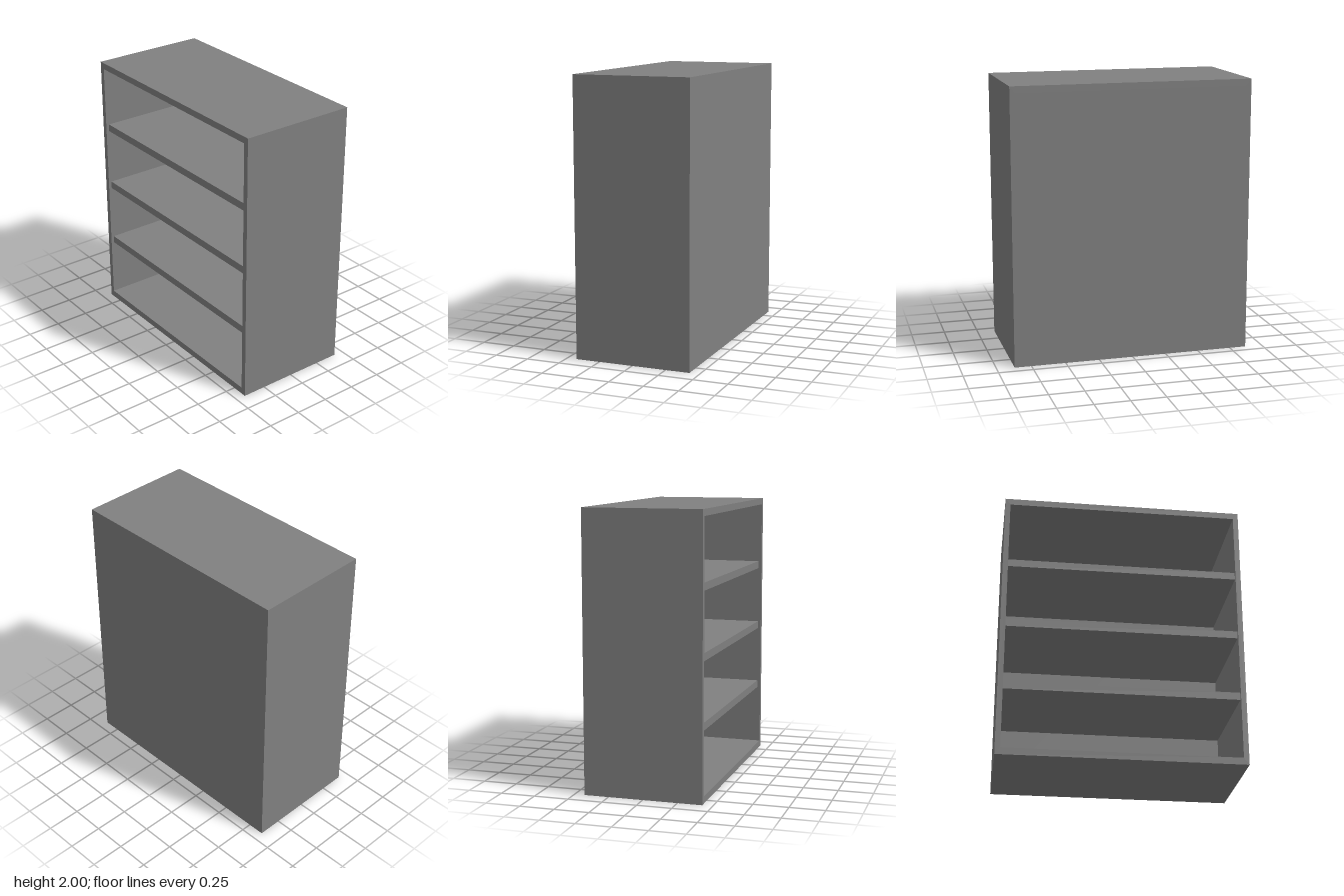
import * as THREE from 'three';

export function createModel() {
  const group = new THREE.Group();
  const grey = new THREE.MeshStandardMaterial({ color: 0x808080 });
  grey.name = 'grey';

  // Overall size and board thicknesses
  const W = 1.744, H = 2, D = 0.854;
  const side = 0.038, slab = 0.05, back = 0.02, recess = 0.023;
  const innerW = W - 2 * side;

  function board(name, w, h, d, x, y, z) {
    const mesh = new THREE.Mesh(new THREE.BoxGeometry(w, h, d), grey);
    mesh.name = name;
    mesh.position.set(x, y, z);
    group.add(mesh);
  }

  // Carcass: a rectangular frame extruded through the full depth
  const rect = (P, w, y0, y1) => new P([
    new THREE.Vector2(-w / 2, y0), new THREE.Vector2(w / 2, y0),
    new THREE.Vector2(w / 2, y1), new THREE.Vector2(-w / 2, y1),
  ]);
  const outline = rect(THREE.Shape, W, 0, H);
  outline.holes.push(rect(THREE.Path, innerW, slab, H - slab + 0.003));
  const frame = new THREE.Mesh(
    new THREE.ExtrudeGeometry(outline, { depth: D, bevelEnabled: false }), grey);
  frame.name = 'carcass';
  frame.position.z = -D / 2;
  group.add(frame);

  // Back panel, set inside the frame and flush with its rear
  board('backPanel', innerW, H - 2 * slab + 0.003, back, 0, H / 2 + 0.0015, -D / 2 + back / 2);

  // Three shelves, slightly recessed from the front edge
  const shelfD = D - back - recess;
  [0.517, 0.997, 1.477].forEach((y, i) =>
    board('shelf' + (i + 1), innerW, 0.055, shelfD, 0, y, (back - recess) / 2));

  return group;
}
